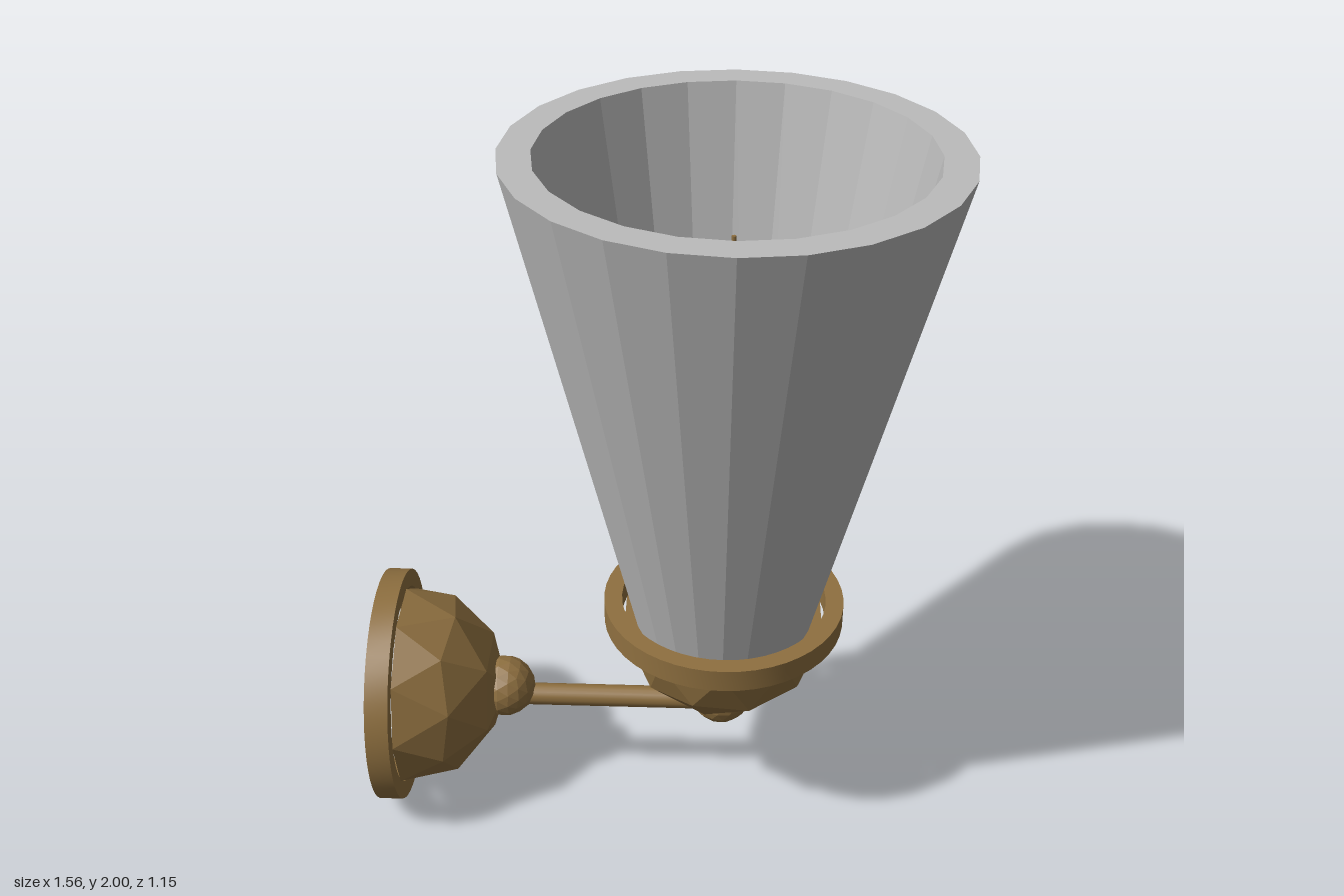
import * as THREE from 'three';
import { mergeGeometries, toCreasedNormals } from 'three/addons/utils/BufferGeometryUtils.js';

const brass = new THREE.MeshStandardMaterial({ color: 0x8f7040 });
brass.name = 'brass';
const frosted = new THREE.MeshStandardMaterial({ color: 0xbcbcbc });
frosted.name = 'frosted grey';

function add(parent, name, geometry, material, x = 0, y = 0, z = 0) {
  const mesh = new THREE.Mesh(geometry, material);
  mesh.name = name;
  mesh.position.set(x, y, z);
  parent.add(mesh);
  return mesh;
}

function flat(geometry) {
  const g = geometry.index ? geometry.toNonIndexed() : geometry;
  g.computeVertexNormals();
  return g;
}

// Faceted sphere with one corner pointing straight down
function facetedSphere(radius, detail) {
  const g = new THREE.IcosahedronGeometry(radius, detail);
  g.rotateZ(-Math.atan(2 / (1 + Math.sqrt(5))));
  return flat(g);
}

// Lower half of a faceted sphere, closed by a ten-sided lid
function facetedDome(radius) {
  const p = facetedSphere(radius, 1).getAttribute('position');
  const kept = [];
  for (let i = 0; i < p.count; i += 3) {
    if (p.getY(i) + p.getY(i + 1) + p.getY(i + 2) > 0) continue;
    for (let k = i; k < i + 3; k++) kept.push(p.getX(k), p.getY(k), p.getZ(k));
  }
  const shell = new THREE.BufferGeometry();
  shell.setAttribute('position', new THREE.Float32BufferAttribute(kept, 3));
  const lid = new THREE.CircleGeometry(radius, 10, Math.PI / 2).rotateX(-Math.PI / 2).toNonIndexed();
  lid.deleteAttribute('uv');
  lid.deleteAttribute('normal');
  return flat(mergeGeometries([shell, lid]));
}

// Closed ring with a rectangular section, standing on y = 0
function ringGeometry(inner, outer, height) {
  const section = [[inner, 0], [outer, 0], [outer, height], [inner, height], [inner, 0]];
  const g = new THREE.LatheGeometry(section.map(([x, y]) => new THREE.Vector2(x, y)), 48);
  return toCreasedNormals(g, 0.6);
}

// Dome, rim ring and ball joint, used for both the wall mount and the cup
function makeHolder(name) {
  const holder = new THREE.Group();
  holder.name = name;
  add(holder, 'dome', facetedDome(0.29), brass);
  add(holder, 'rimRing', ringGeometry(0.285, 0.335, 0.065), brass);
  add(holder, 'ballJoint', facetedSphere(0.088, 2), brass, 0, -0.285, 0);
  return holder;
}

export function createModel() {
  const model = new THREE.Group();
  model.name = 'wallLamp';

  const wallMount = makeHolder('wallMount');
  wallMount.position.set(-0.715, 0.34, 0);
  wallMount.rotation.z = Math.PI / 2;
  model.add(wallMount);

  const cup = makeHolder('cup');
  cup.position.set(0.2, 0.62, 0);
  model.add(cup);

  // Arm joining the two ball joints
  const arm = new THREE.CylinderGeometry(0.032, 0.032, 0.63, 16).rotateZ(Math.PI / 2);
  add(model, 'arm', arm, brass, -0.115, 0.312, 0);

  // Tapered open shade with a thick flat lip
  const profile = [[0.222, 0.615], [0.245, 0.615], [0.576, 2], [0.492, 2], [0.222, 0.615]];
  const shade = new THREE.LatheGeometry(profile.map(([x, y]) => new THREE.Vector2(x, y)), 24);
  add(model, 'shade', flat(shade), frosted, 0.2, 0, 0);

  // Candle inside the shade
  add(model, 'candleSocket', new THREE.CylinderGeometry(0.088, 0.088, 0.12, 24), brass, 0.2, 0.68, 0);
  add(model, 'candle', new THREE.CylinderGeometry(0.055, 0.055, 0.95, 20), frosted, 0.2, 1.205, 0);
  add(model, 'wick', new THREE.CylinderGeometry(0.006, 0.006, 0.11, 8), brass, 0.2, 1.73, 0);

  return model;
}
